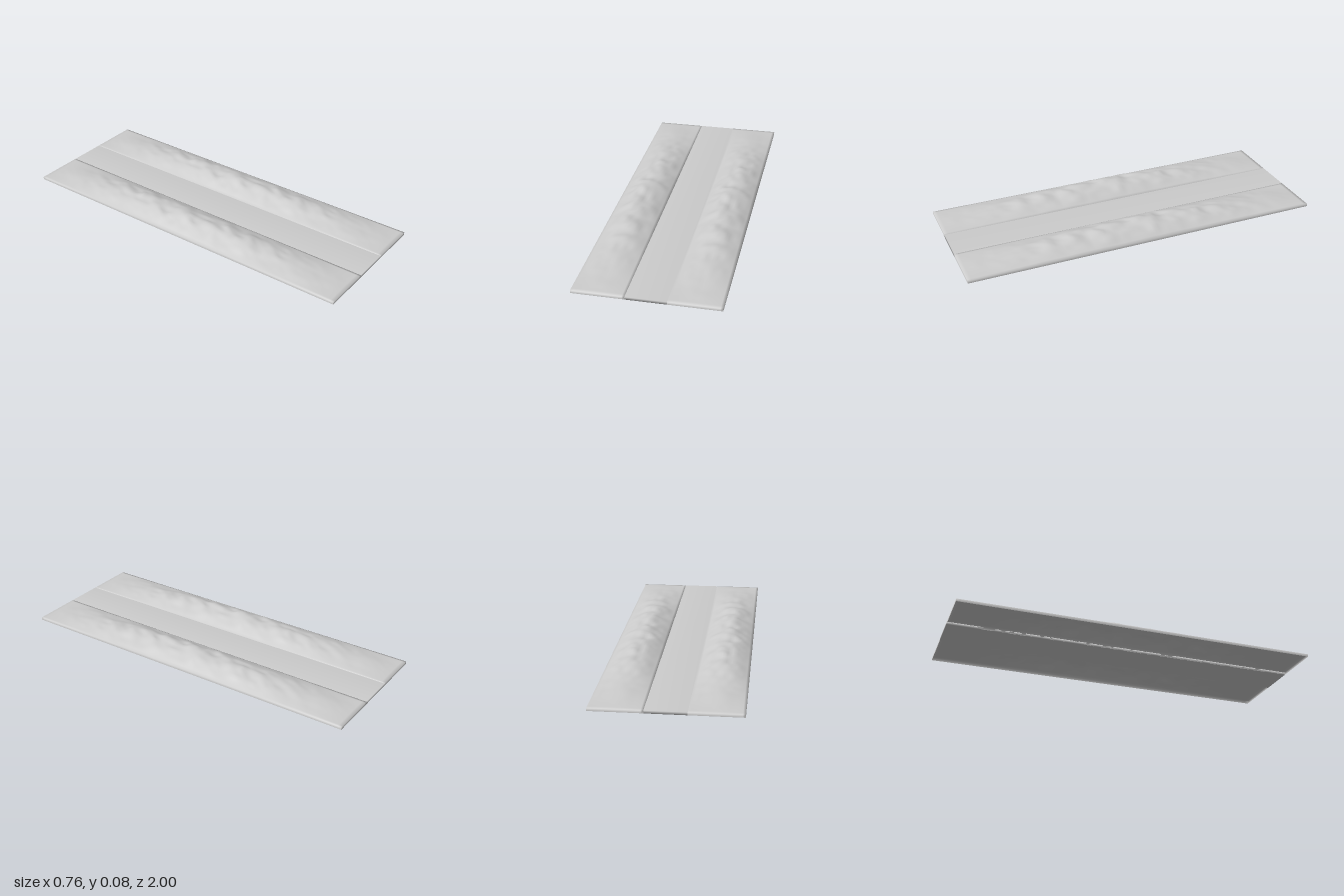
import * as THREE from 'three';
import { mergeVertices } from 'three/addons/utils/BufferGeometryUtils.js';

const LENGTH = 2, EDGE = 0.015;
const ROAD_WIDTH = 0.21, BANK_WIDTH = 0.273;

// Repeatable value noise in 0..1
const hash = (i, j) => {
  const s = Math.sin(i * 127.1 + j * 311.7) * 43758.5453;
  return s - Math.floor(s);
};
function noise(x, y) {
  const i = Math.floor(x), j = Math.floor(y);
  const s = THREE.MathUtils.smoothstep(x - i, 0, 1);
  const t = THREE.MathUtils.smoothstep(y - j, 0, 1);
  const { lerp } = THREE.MathUtils;
  return lerp(lerp(hash(i, j), hash(i + 1, j), s), lerp(hash(i, j + 1), hash(i + 1, j + 1), s), t);
}

// Bumpy mound fading to a thin rim; the outermost ring of the grid drops to the ground
function bankGeometry(nx = 20, nz = 100) {
  const g = new THREE.PlaneGeometry(1, 1, nx + 2, nz + 2).rotateX(-Math.PI / 2);
  const p = g.attributes.position;
  for (let k = 0; k < p.count; k++) {
    const i = k % (nx + 3) - 1, j = Math.floor(k / (nx + 3)) - 1;
    const u = THREE.MathUtils.clamp(i / nx, 0, 1), v = THREE.MathUtils.clamp(j / nz, 0, 1);
    const skirt = i < 0 || j < 0 || i > nx || j > nz;
    const bumps = 0.65 * noise(u * 5, v * 30) + 0.35 * noise(u * 10 + 40, v * 55);
    const height = 0.057 * Math.sin(Math.PI * u) * Math.sin(Math.PI * v) * (0.68 + 0.5 * bumps);
    p.setXYZ(k, (u - 0.5) * BANK_WIDTH, skirt ? 0 : EDGE + height, (v - 0.5) * LENGTH);
  }
  g.computeVertexNormals();
  return g;
}

// Thin slab with shared corner normals
function roadGeometry() {
  const box = new THREE.BoxGeometry(ROAD_WIDTH, EDGE, LENGTH);
  box.deleteAttribute('normal');
  box.deleteAttribute('uv');
  const g = mergeVertices(box);
  g.computeVertexNormals();
  return g.translate(0, EDGE / 2, 0);
}

export function createModel() {
  const group = new THREE.Group();
  group.name = 'roadBetweenBanks';
  const material = new THREE.MeshStandardMaterial({ color: 0xcccccc, side: THREE.DoubleSide });

  const road = new THREE.Mesh(roadGeometry(), material);
  road.name = 'road';
  group.add(road);

  // The same bank on both sides
  const bank = bankGeometry();
  for (const [name, side] of [['rightBank', -1], ['leftBank', 1]]) {
    const mesh = new THREE.Mesh(bank, material);
    mesh.name = name;
    mesh.position.x = side * (ROAD_WIDTH + BANK_WIDTH) / 2;
    group.add(mesh);
  }
  return group;
}
